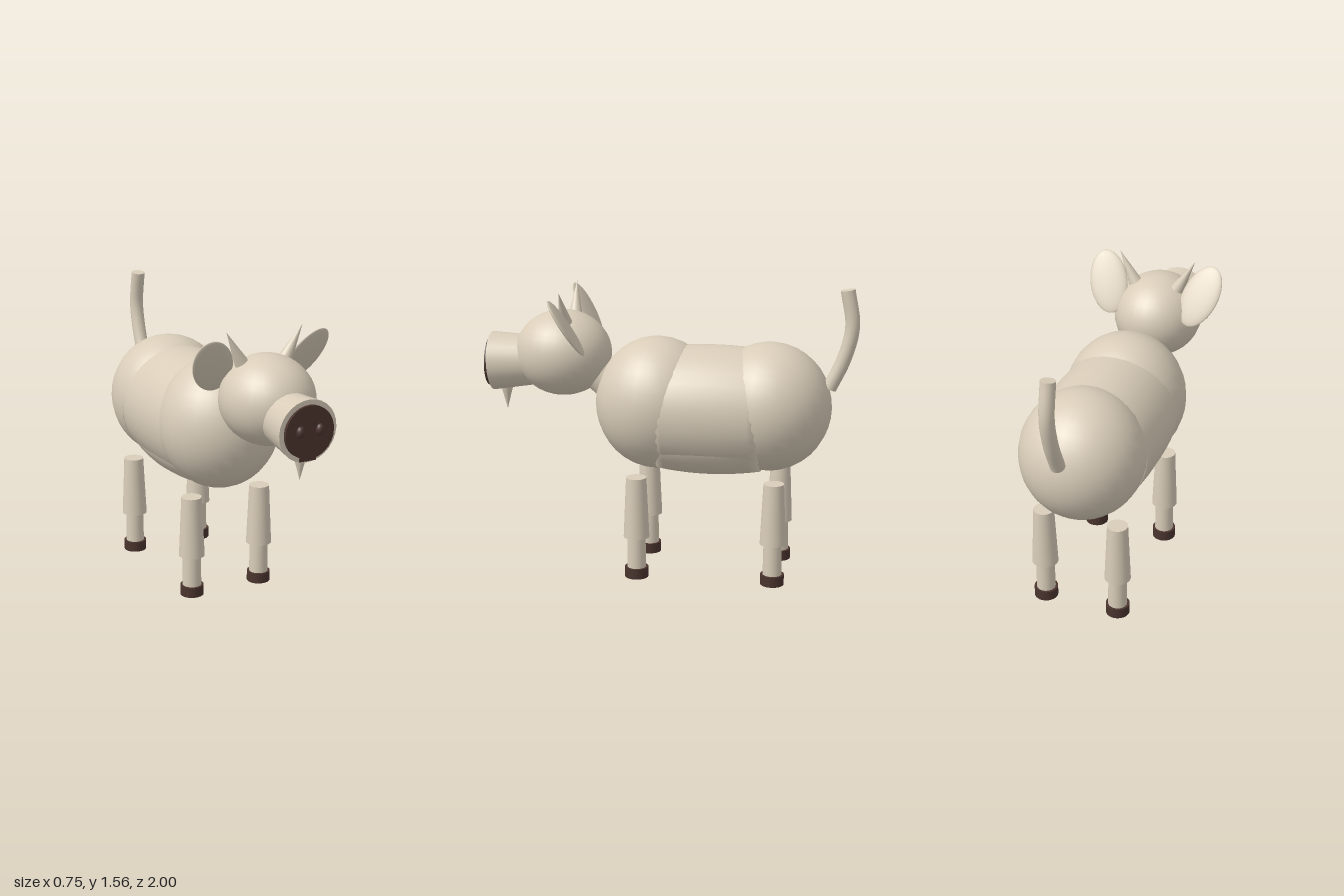
import * as THREE from 'three';

export function createModel() {
  const model = new THREE.Group();
  const cream = new THREE.MeshStandardMaterial({ color: 0xd9cdb9 });
  cream.name = 'cream hide';
  const brown = new THREE.MeshStandardMaterial({ color: 0x4a342e });
  brown.name = 'dark brown';

  const V = (x, y, z) => new THREE.Vector3(x, y, z);
  const UP = V(0, 1, 0);

  function add(name, geometry, material, pos = [0, 0, 0]) {
    const mesh = new THREE.Mesh(geometry, material);
    mesh.name = name;
    mesh.position.set(...pos);
    model.add(mesh);
    return mesh;
  }
  function ellipsoid(name, pos, radii, material = cream) {
    const geo = new THREE.SphereGeometry(1, 28, 20).scale(...radii);
    return add(name, geo, material, pos);
  }
  // Tapered round bar from point a to point b
  function bar(name, a, b, ra, rb, material = cream) {
    const dir = b.clone().sub(a);
    const mesh = add(name, new THREE.CylinderGeometry(rb, ra, dir.length(), 28), material);
    mesh.position.copy(a).add(b).multiplyScalar(0.5);
    mesh.quaternion.setFromUnitVectors(UP, dir.normalize());
    return mesh;
  }
  // Barrel along z with a gentle bulge; endScale is the relative end radius
  function barrel(name, pos, rx, ry, half, endScale) {
    const pts = [new THREE.Vector2(0, -half)];
    for (let i = 0; i <= 10; i++) {
      const t = i / 5 - 1;
      pts.push(new THREE.Vector2(1 - (1 - endScale) * t * t, t * half));
    }
    pts.push(new THREE.Vector2(0, half));
    const geo = new THREE.LatheGeometry(pts, 32).rotateX(Math.PI / 2).scale(rx, ry, 1);
    add(name, geo, cream, pos);
  }

  // Body
  ellipsoid('chest', [0, 0.92, 0.06], [0.325, 0.355, 0.33]);
  ellipsoid('rump', [0, 0.92, -0.54], [0.325, 0.342, 0.33]);
  barrel('torso', [0, 0.9, -0.23], 0.33, 0.337, 0.28, 0.95);
  barrel('belly', [0, 0.78, -0.225], 0.285, 0.235, 0.28, 0.9);

  // Neck and head
  bar('neck', V(0, 0.93, 0.22), V(0, 1.16, 0.48), 0.1, 0.09);
  ellipsoid('head', [0, 1.175, 0.57], [0.24, 0.23, 0.26]);

  // Snout, nose, mouth and chin tuft
  bar('snout', V(0, 1.128, 0.7), V(0, 1.116, 0.958), 0.13, 0.158);
  bar('nose', V(0, 1.115, 0.95), V(0, 1.115, 0.977), 0.133, 0.133, brown);
  add('mouth', new THREE.BoxGeometry(0.09, 0.016, 0.008), brown, [0, 0.976, 0.957]);
  bar('chinTuft', V(0, 0.985, 0.89), V(0, 0.85, 0.89), 0.035, 0);

  for (const s of [1, -1]) {
    const side = s > 0 ? 'left' : 'right';
    ellipsoid(side + 'Nostril', [s * 0.054, 1.123, 0.977], [0.022, 0.03, 0.022], brown);
    bar(side + 'Horn', V(s * 0.122, 1.36, 0.53), V(s * 0.215, 1.53, 0.54), 0.037, 0);

    // Flat oval ear, leaning forward and outward
    const ear = ellipsoid(side + 'Ear', [s * 0.264, 1.355, 0.493], [0.104, 0.175, 0.018]);
    const long = V(s * 0.054, 0.146, 0.083).normalize();
    const normal = V(s * 0.1, -0.5, 0.86).cross(long).cross(long).negate().normalize();
    const across = long.clone().cross(normal);
    ear.quaternion.setFromRotationMatrix(new THREE.Matrix4().makeBasis(across, long, normal));

    // Legs
    for (const [end, z] of [['Front', 0.14], ['Back', -0.59]]) {
      const x = s * 0.205;
      bar(side + end + 'UpperLeg', V(x, 0.225, z), V(x, 0.555, z), 0.069, 0.054);
      bar(side + end + 'LowerLeg', V(x, 0.03, z), V(x, 0.26, z), 0.051, 0.048);
      bar(side + end + 'Hoof', V(x, 0, z), V(x, 0.056, z), 0.063, 0.063, brown);
    }
  }

  // Tail, a curved tube with closed ends
  const path = new THREE.CatmullRomCurve3([
    V(0, 1.03, -0.853), V(0, 1.19, -0.925), V(0, 1.36, -0.963), V(0, 1.55, -0.934),
  ]);
  add('tail', new THREE.TubeGeometry(path, 20, 0.038, 20), cream);
  for (const t of [0, 1]) {
    const cap = add('tailEnd', new THREE.CircleGeometry(0.038, 20), cream);
    cap.position.copy(path.getPoint(t));
    cap.quaternion.setFromUnitVectors(V(0, 0, 1), path.getTangent(t).multiplyScalar(t ? 1 : -1));
  }

  return model;
}
